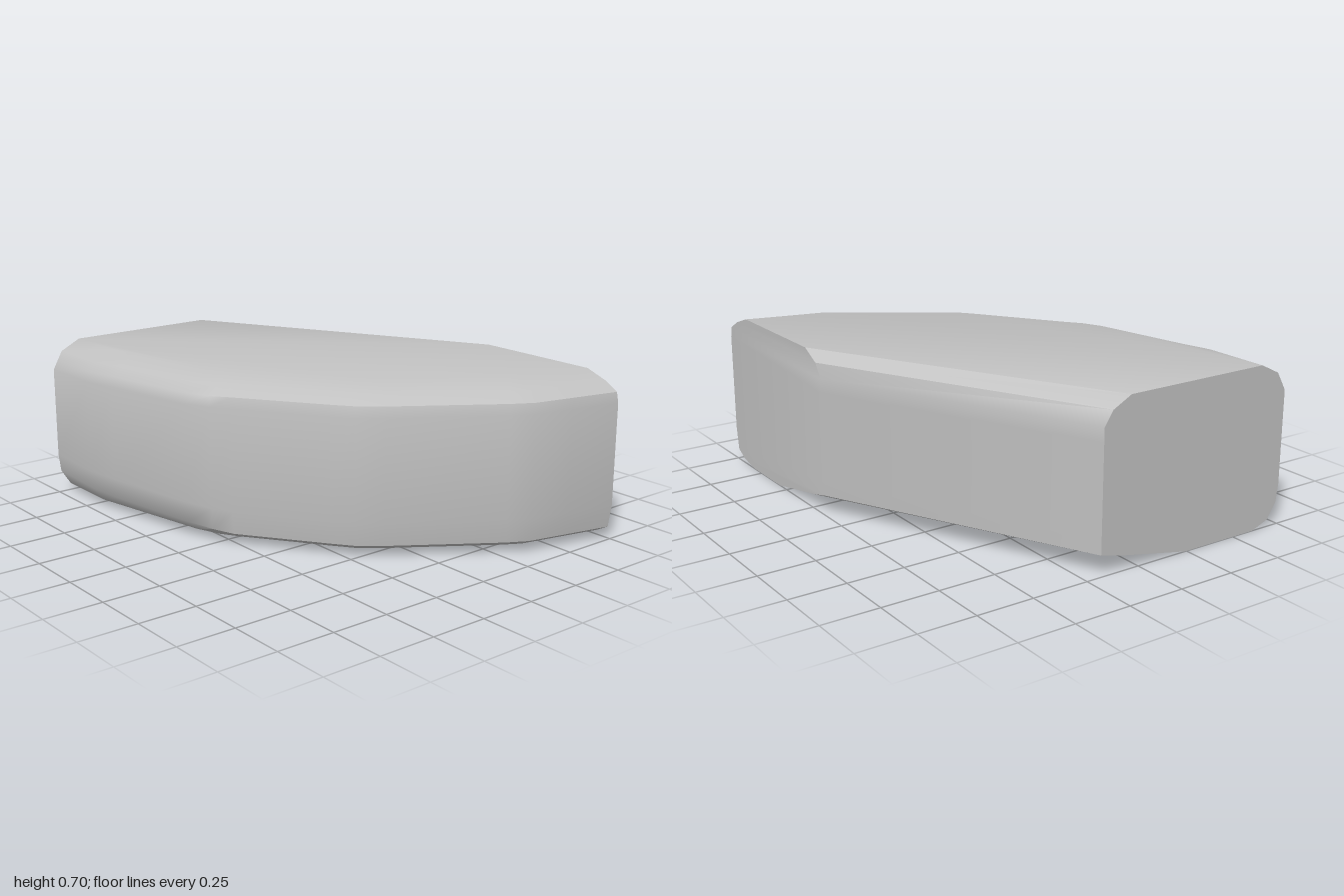
import * as THREE from 'three';
import { toCreasedNormals } from 'three/addons/utils/BufferGeometryUtils.js';

// Edge profiles from bottom to top: [height, inset from the outline]
const FRONT = [[0, 0.135], [0.03, 0.055], [0.1, 0.01], [0.18, 0], [0.58, 0], [0.62, 0.022], [0.66, 0.045], [0.705, 0.135]];
const SIDE = [[0, 0.17], [0.02, 0.07], [0.05, 0.015], [0.15, 0], [0.59, 0], [0.635, 0.01], [0.67, 0.07], [0.705, 0.17]];
const BACK = [[0, 0.43], [0.065, 0.1], [0.09, 0], [0.15, 0], [0.54, 0], [0.6, 0], [0.66, 0.04], [0.705, 0.125]];

// Curved outer edge seen from above (x, z), from the left cut to the rear cut
const OUTER = [[-1, 0.745], [-0.7, 0.745], [-0.55, 0.715], [-0.12, 0.63], [0, 0.585], [0.08, 0.535],
  [0.42, 0.295], [0.5, 0.235], [0.58, 0.14], [0.86, -0.27], [0.91, -0.36], [0.95, -0.53], [1, -0.75]];

// Stations around the block: position, inward direction and edge profile
function makeStations() {
  const last = OUTER.length - 1;
  const stations = OUTER.map(([x, z], i) => {
    const a = OUTER[Math.max(i - 1, 0)], b = OUTER[Math.min(i + 1, last)];
    const dx = b[0] - a[0], dz = b[1] - a[1], len = Math.hypot(dx, dz);
    let dir = [dz / len, -dx / len];
    if (i === 0) dir = [0, -1]; // slide along the cut faces
    if (i === last) dir = [-1, 0];
    const t = Math.min(i / 5, 1);
    const profile = FRONT.map(([y, d], k) => [
      THREE.MathUtils.lerp(y, SIDE[k][0], t), THREE.MathUtils.lerp(d, SIDE[k][1], t)]);
    return { x, z, dir, profile };
  });
  // Straight slanted back
  stations.push({ x: 0.135, z: -0.75, dir: [1, 0], profile: BACK });
  stations.push({ x: -1, z: -0.185, dir: [0, 1], profile: BACK });
  return stations;
}

// Loft the stations layer by layer and close top and bottom
function makeBlock() {
  const stations = makeStations(), n = stations.length, layers = FRONT.length;
  const positions = [], index = [];
  for (let k = 0; k < layers; k++) {
    for (const { x, z, dir, profile } of stations) {
      const [y, d] = profile[k];
      positions.push(x + dir[0] * d, y, z + dir[1] * d);
    }
  }
  for (let k = 0; k < layers - 1; k++) {
    for (let i = 0; i < n; i++) {
      const a = k * n + i, b = k * n + (i + 1) % n;
      index.push(a, b, b + n, a, b + n, a + n);
    }
  }
  const top = (layers - 1) * n;
  for (let i = 1; i < n - 1; i++) {
    index.push(0, i + 1, i);
    index.push(top, top + i, top + i + 1);
  }
  const geometry = new THREE.BufferGeometry();
  geometry.setAttribute('position', new THREE.Float32BufferAttribute(positions, 3));
  geometry.setIndex(index);
  return toCreasedNormals(geometry, THREE.MathUtils.degToRad(42));
}

export function createModel() {
  const group = new THREE.Group();
  group.name = 'curvedBlock';
  const stone = new THREE.MeshStandardMaterial({ color: 0xc0c0c0 });
  stone.name = 'lightGrey';
  const block = new THREE.Mesh(makeBlock(), stone);
  block.name = 'block';
  group.add(block);
  return group;
}
